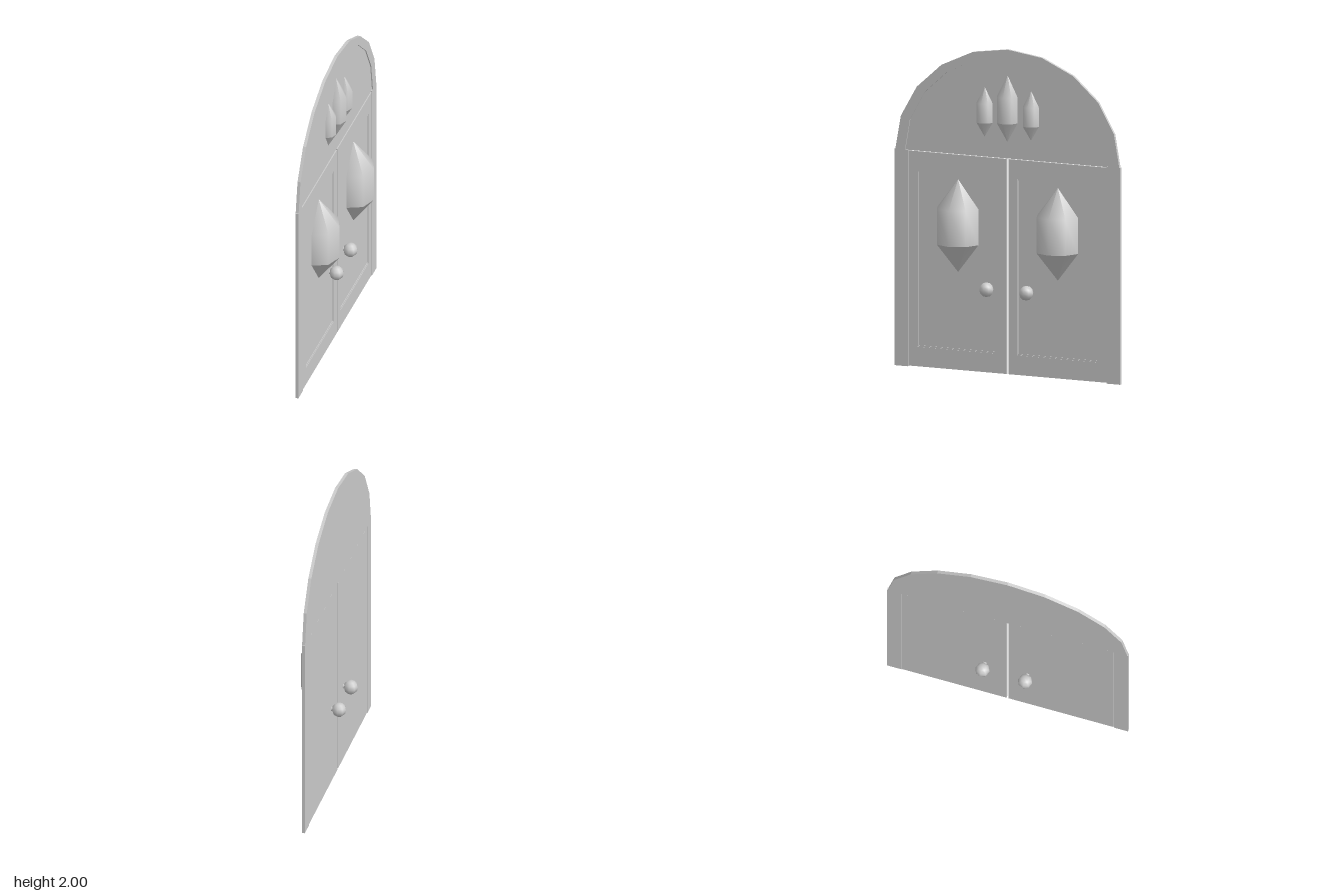
import * as THREE from 'three';

const material = new THREE.MeshStandardMaterial({ color: 0xcccccc });
const flat = new THREE.MeshStandardMaterial({ color: 0xcccccc, flatShading: true });
const BACK = -0.026, FRONT = -0.007, SPRING = 1.33;

// Rectangle between two widths and two heights
function rect(a0, b0, a1, b1) {
  return [[a0, b0], [a1, b0], [a1, b1], [a0, b1]].map(([a, b]) => new THREE.Vector2(a, b));
}

// Ten-sided half ellipse standing on the spring line
function arc(rx, ry) {
  return Array.from({ length: 11 }, (_, i) => {
    const t = (i * Math.PI) / 10;
    return new THREE.Vector2(rx * Math.cos(t), SPRING + ry * Math.sin(t));
  });
}

// Flat board facing +x; shape coordinates are (-z, y)
function board(name, outline, x0, x1, hole) {
  const shape = new THREE.Shape(outline);
  if (hole) shape.holes.push(new THREE.Path(hole));
  const geometry = new THREE.ExtrudeGeometry(shape, { depth: x1 - x0, bevelEnabled: false });
  geometry.rotateY(Math.PI / 2).translate(x0, 0, 0);
  const mesh = new THREE.Mesh(geometry, flat);
  mesh.name = name;
  return mesh;
}

// Half of an eight-sided gem: body with upper point, and creased lower point
function gem(name, z, r, heights) {
  const [bottom, low, high, top] = heights;
  const group = new THREE.Group();
  group.name = name;
  for (const profile of [[[0, bottom], [r, low]], [[r, low], [r, high], [0, top]]]) {
    const points = profile.map(([a, b]) => new THREE.Vector2(a, b));
    const mesh = new THREE.Mesh(new THREE.LatheGeometry(points, 4, 0, Math.PI), material);
    mesh.name = name + 'Facets';
    group.add(mesh);
  }
  group.position.set(-0.016, 0, z);
  group.scale.z = 1.04;
  return group;
}

// Pair of balls joined by a stem through the door
function knob(z) {
  const group = new THREE.Group();
  group.name = 'doorKnob';
  for (const x of [-0.072, 0.028]) {
    const ball = new THREE.Mesh(new THREE.SphereGeometry(0.045, 8, 6), material);
    ball.name = 'knobBall';
    ball.position.x = x;
    group.add(ball);
  }
  const stem = new THREE.Mesh(new THREE.CylinderGeometry(0.014, 0.014, 0.08, 8), material);
  stem.name = 'knobStem';
  stem.rotation.z = Math.PI / 2;
  stem.position.x = -0.022;
  group.add(stem);
  group.position.set(0, 0.52, z);
  return group;
}

export function createModel() {
  const model = new THREE.Group();
  model.name = 'archedDoubleDoor';

  // Arched top: raised rim around a recessed infill
  const outer = arc(0.755, 0.67), inner = arc(0.69, 0.62);
  model.add(
    board('archRim', [...outer, ...inner.slice().reverse()], BACK, FRONT),
    board('archInfill', inner, BACK, FRONT - 0.007),
  );

  // Jambs and panelled door leaves, mirrored about the middle gap
  for (const s of [1, -1]) {
    const side = (a0, b0, a1, b1) => (s > 0 ? rect(a0, b0, a1, b1) : rect(-a1, b0, -a0, b1));
    const opening = side(0.065, 0.125, 0.61, 1.21);
    const step = side(0.074, 0.134, 0.601, 1.201);
    model.add(
      board('jamb', side(0.67, 0, 0.76, SPRING + 0.003), BACK, FRONT),
      board('doorLeaf', side(0.006, 0.005, 0.668, SPRING - 0.003), BACK + 0.001, FRONT - 0.002, opening),
      board('panelMoulding', opening, BACK + 0.001, FRONT - 0.005, step),
      board('doorPanel', step, BACK + 0.001, FRONT - 0.009),
      gem('doorGem', s * 0.336, 0.132, [0.605, 0.78, 1.0, 1.175]),
      gem('sideGem', s * 0.156, 0.052, [1.45, 1.54, 1.66, 1.76]),
    );
  }
  model.add(gem('middleGem', 0.003, 0.067, [1.43, 1.55, 1.71, 1.845]));

  model.add(knob(0.124), knob(-0.145));
  return model;
}
